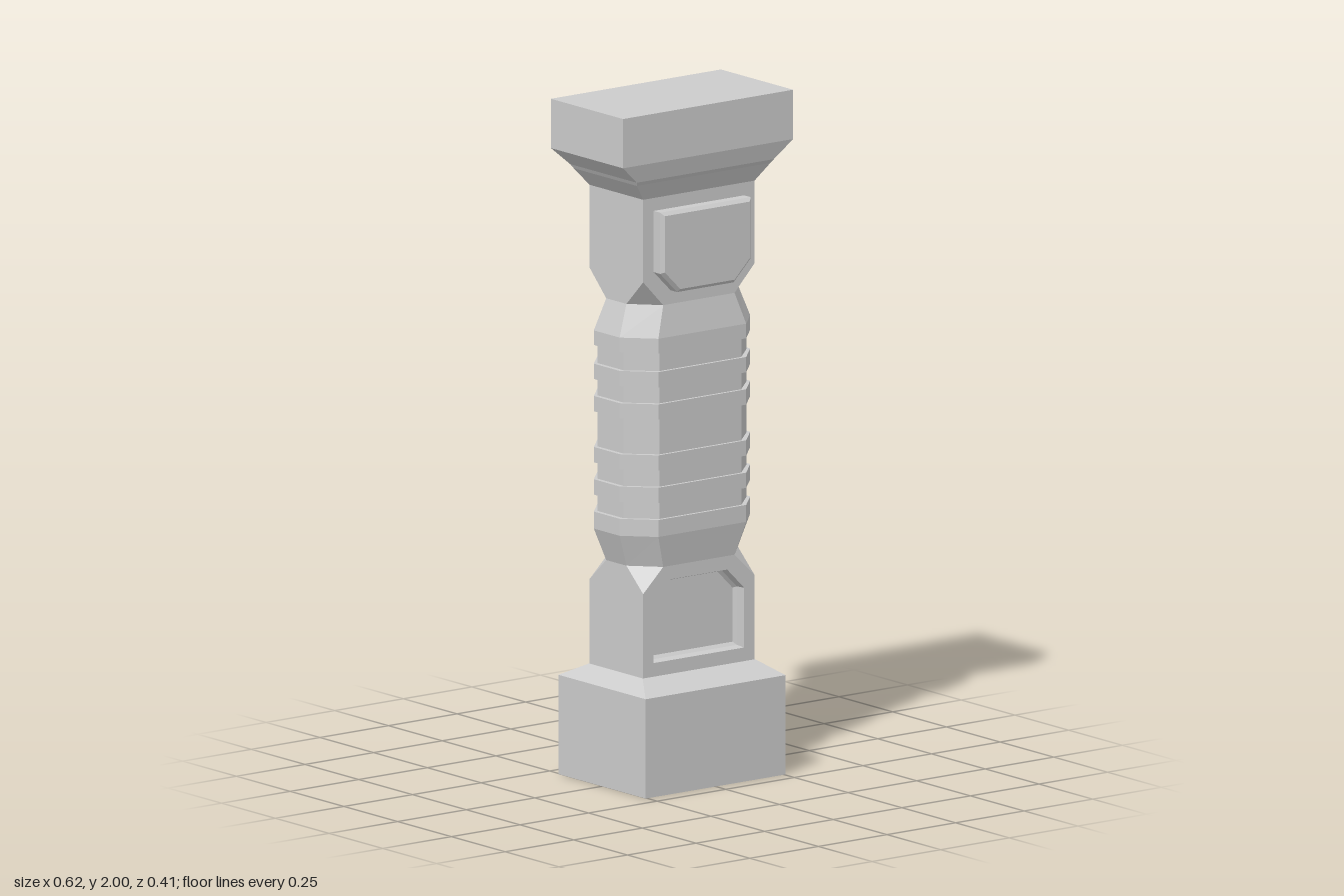
import * as THREE from 'three';

const material = new THREE.MeshStandardMaterial({ color: 0xcccccc, flatShading: true });

// Joins loops of [x, y, z] points (counter-clockwise seen from the end of the loft).
// `open(section, edge)` marks quads to leave out.
function loft(loops, { open = () => false, capStart = false, capEnd = false } = {}) {
  const pos = [];
  const same = (a, b) => a.every((v, i) => Math.abs(v - b[i]) < 1e-6);
  const tri = (a, b, c) => {
    if (!same(a, b) && !same(b, c) && !same(a, c)) pos.push(...a, ...b, ...c);
  };
  const fan = (loop) => {
    for (let i = 1; i < loop.length - 1; i++) tri(loop[0], loop[i], loop[i + 1]);
  };
  for (let s = 0; s < loops.length - 1; s++) {
    const a = loops[s], b = loops[s + 1], n = a.length;
    for (let i = 0; i < n; i++) {
      if (open(s, i)) continue;
      const j = (i + 1) % n;
      tri(a[i], a[j], b[j]);
      tri(a[i], b[j], b[i]);
    }
  }
  if (capStart) fan([...loops[0]].reverse());
  if (capEnd) fan(loops[loops.length - 1]);
  const geo = new THREE.BufferGeometry();
  geo.setAttribute('position', new THREE.Float32BufferAttribute(pos, 3));
  geo.computeVertexNormals();
  return geo;
}

// Horizontal ring: half sizes X, Z; fx, fz are the half widths of the front and side faces
const ring = ([y, X, Z, fx = X, fz = Z]) => [
  [-fx, y, Z], [fx, y, Z], [X, y, fz], [X, y, -fz],
  [fx, y, -Z], [-fx, y, -Z], [-X, y, -fz], [-X, y, fz],
];

// Panel outline with two cut corners (at the top or at the bottom), inset by d
function outline(y0, y1, cutTop, d, z) {
  const w = 0.165 - d, c = 0.062 - d * (2 - Math.SQRT2);
  const lo = y0 + d, hi = y1 - d;
  return cutTop
    ? [[-w, lo, z], [w, lo, z], [w, hi - c, z], [w - c, hi, z], [c - w, hi, z], [-w, hi - c, z]]
    : [[c - w, lo, z], [w - c, lo, z], [w, lo + c, z], [w, hi, z], [-w, hi, z], [-w, lo + c, z]];
}

export function createModel() {
  const model = new THREE.Group();
  const add = (name, geo, parent = model) => {
    const mesh = new THREE.Mesh(geo, material);
    mesh.name = name;
    parent.add(mesh);
  };

  // Plinth and capital
  add('plinth', loft([[0, 0.255, 0.203], [0.292, 0.255, 0.203], [0.332, 0.205, 0.125]].map(ring),
    { capStart: true, capEnd: true }));
  add('capital', loft([
    [1.74, 0.203, 0.125], [1.79, 0.243, 0.147], [1.802, 0.25, 0.155],
    [1.855, 0.31, 0.168], [2, 0.31, 0.168],
  ].map(ring), { capStart: true, capEnd: true }));

  // Shaft: square ends, eight-sided ribbed middle
  const rings = [[0.33, 0.203, 0.125], [0.58, 0.203, 0.125], [0.65, 0.203, 0.125, 0.13, 0.047]];
  const wide = [0.238, 0.141, 0.16, 0.06], narrow = [0.224, 0.132, 0.149, 0.06];
  const ribs = [[0.745, 0.795], [0.845, 0.89], [0.94, 0.985], [1.09, 1.135], [1.185, 1.23], [1.285, 1.328]];
  ribs.forEach(([lo, hi], i) => {
    if (i > 0) rings.push([lo, ...narrow]);
    rings.push([lo, ...wide], [hi, ...wide]);
    if (i < ribs.length - 1) rings.push([hi, ...narrow]);
  });
  rings.push([1.42, 0.203, 0.125, 0.13, 0.047], [1.497, 0.203, 0.125], [1.74, 0.203, 0.125]);
  // The lower front and back faces stay open for the recessed panels
  add('shaft', loft(rings.map(ring), { open: (s, e) => s < 2 && e % 4 === 0 }));

  // Panels on front and back
  for (const side of ['front', 'back']) {
    const group = new THREE.Group();
    group.name = side + 'Panels';
    if (side === 'back') group.rotation.y = Math.PI;
    model.add(group);

    add('raisedPanel', loft([[0, 0.12], [0, 0.155], [0.01, 0.165]]
      .map(([d, z]) => outline(1.46, 1.702, false, d, z)), { capEnd: true }), group);

    add('recess', loft([[0, 0.125], [0.003, 0.095], [0.012, 0.086]]
      .map(([d, z]) => outline(0.372, 0.61, true, d, z)), { capEnd: true }), group);

    const points = (list) => list.map(([x, y]) => new THREE.Vector2(x, y));
    const face = new THREE.Shape(points([
      [-0.203, 0.33], [0.203, 0.33], [0.203, 0.58], [0.13, 0.65], [-0.13, 0.65], [-0.203, 0.58],
    ]));
    face.holes.push(new THREE.Path(points(outline(0.372, 0.61, true, 0, 0))));
    add('recessSurround', new THREE.ShapeGeometry(face).translate(0, 0, 0.125), group);
  }
  return model;
}
